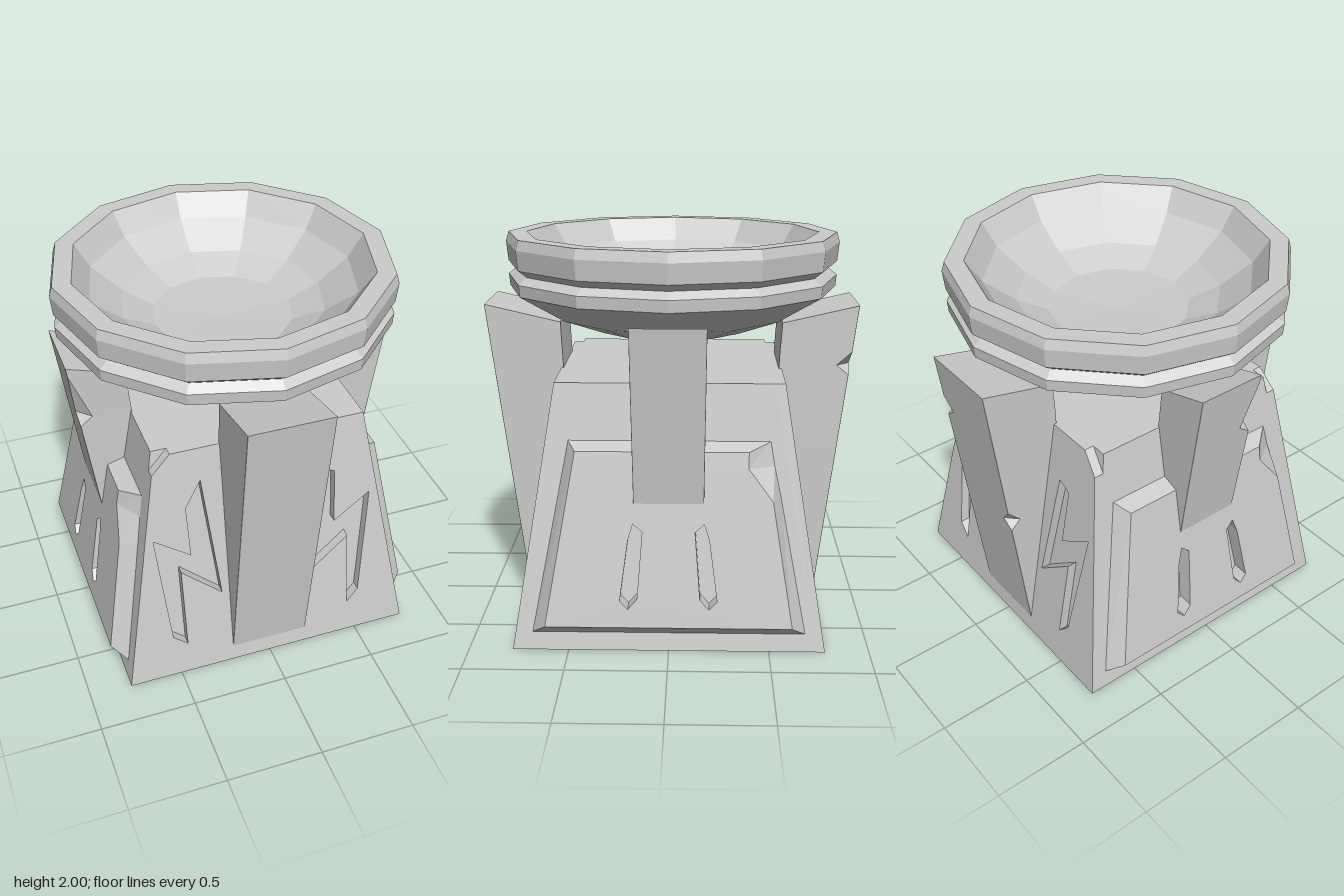
import * as THREE from 'three';

const stone = new THREE.MeshStandardMaterial({ color: 0xcccccc, flatShading: true, side: THREE.DoubleSide });
const H = 1.32;                        // body height
const SLOPE_X = (0.78 - 0.55) / H;     // inward lean of the sides
const SLOPE_Z = (0.78 - 0.57) / H;     // inward lean of the front and back

const points = (list) => list.map(([x, y]) => new THREE.Vector2(x, y));

function addPart(parent, name, geometry, angle = 0) {
  const mesh = new THREE.Mesh(geometry, stone);
  mesh.name = name;
  mesh.rotation.y = angle;
  parent.add(mesh);
  return mesh;
}

// Move every vertex of a geometry by a rule
function warp(geometry, rule) {
  const p = geometry.attributes.position;
  const v = new THREE.Vector3();
  for (let i = 0; i < p.count; i++) {
    rule(v.fromBufferAttribute(p, i));
    p.setXYZ(i, v.x, v.y, v.z);
  }
  geometry.computeVertexNormals();
  return geometry;
}

// Plate with carved openings
function carvedPlate(outline, holes, depth) {
  const shape = new THREE.Shape(points(outline));
  holes.forEach((h) => shape.holes.push(new THREE.Path(points(h))));
  return new THREE.ExtrudeGeometry(shape, { depth, bevelEnabled: false });
}

// Solid core, set back behind the carved front and back plates
function coreGeometry(inset) {
  return warp(new THREE.BoxGeometry(2, H, 2).translate(0, H / 2, 0), (v) => {
    v.x *= 0.78 - SLOPE_X * v.y;
    v.z *= 0.78 - inset - SLOPE_Z * v.y;
  });
}

// Leaning front plate with two jagged bolts, one top corner broken
function boltPlateGeometry(depth, chipSide) {
  const corner = 0.78 - SLOPE_X * 1.22;
  const outline = [[-0.78, 0], [0.78, 0]];
  if (chipSide > 0) outline.push([corner, 1.22], [0.47, H]);
  else outline.push([0.55, H]);
  if (chipSide < 0) outline.push([-0.47, H], [-corner, 1.22]);
  else outline.push([-0.55, H]);
  const boltA = [[-0.59, 0.85], [-0.4, 0.72], [-0.41, 1], [-0.325, 1.14],
    [-0.25, 0.45], [-0.46, 0.63], [-0.455, 0.18], [-0.53, 0.24]];
  const boltB = [[0.31, 1.05], [0.39, 1.02], [0.385, 0.72], [0.585, 0.85],
    [0.52, 0.25], [0.455, 0.18], [0.46, 0.61], [0.25, 0.45]];
  return warp(carvedPlate(outline, [boltA, boltB], depth), (v) => {
    v.z += 0.78 - depth - SLOPE_Z * v.y;
  });
}

// Raised side panel with bevelled rim, a broken corner and two slots
function sidePanelGeometry(depth) {
  const face = [[-0.61, 0.15], [0.61, 0.15], [0.51, 0.77], [0.39, 0.93], [0.39, 1.01], [-0.46, 1.01]];
  const foot = [[-0.68, 0.09], [0.68, 0.09], [0.55, 0.78], [0.52, 0.92], [0.5, 1.04], [-0.5, 1.04]];
  const slot = [[0.175, 0.66], [0.13, 0.62], [0.155, 0.29], [0.2, 0.24], [0.24, 0.28], [0.2, 0.58]];
  const slots = [slot, slot.map(([x, y]) => [-x, y])];
  return warp(carvedPlate(face, slots, depth), (v) => {
    if (v.z < depth / 2) {
      const i = face.findIndex(([x, y]) => Math.hypot(x - v.x, y - v.y) < 1e-4);
      if (i >= 0) [v.x, v.y] = foot[i];
    }
    v.z += 0.78 - SLOPE_X * v.y;
  });
}

// Buttress made of six-point sections; chips are [height, rise, size, side]
function buttressGeometry(halfWidth, bottom, top, chips) {
  const levels = [{ y: bottom.y }, { y: top.y }];
  chips.forEach(([y, rise, size, side]) => {
    levels.push({ y: y - 0.05 }, { y, size, side }, { y: y + rise });
  });
  levels.sort((a, b) => a.y - b.y);
  const pos = [];
  const index = [];
  levels.forEach(({ y, size = 0, side = 0 }) => {
    const t = (y - bottom.y) / (top.y - bottom.y);
    const inner = THREE.MathUtils.lerp(bottom.inner, top.inner, t);
    const outer = THREE.MathUtils.lerp(bottom.outer, top.outer, t);
    const w = halfWidth * (0.95 + 0.05 * t);
    const l = side < 0 ? size : 0.001;
    const r = side > 0 ? size : 0.001;
    const yInner = y === top.y ? y - 0.09 : Math.min(y, top.y - 0.1);
    pos.push(-w, yInner, inner, -w, y, outer - l, -w + l, y, outer,
      w - r, y, outer, w, y, outer - r, w, yInner, inner);
  });
  const last = (levels.length - 1) * 6;
  for (let k = 0; k < last; k += 6) {
    for (let j = 0; j < 6; j++) {
      const a = k + j;
      const b = k + (j + 1) % 6;
      index.push(a, b, b + 6, a, b + 6, a + 6);
    }
  }
  for (let j = 1; j < 5; j++) index.push(0, j + 1, j, last, last + j, last + j + 1);
  const g = new THREE.BufferGeometry();
  g.setAttribute('position', new THREE.Float32BufferAttribute(pos, 3));
  g.setIndex(index);
  g.computeVertexNormals();
  return g;
}

export function createModel() {
  const model = new THREE.Group();
  model.name = 'stoneBrazier';

  // Pedestal body
  const body = new THREE.Group();
  body.name = 'pedestal';
  model.add(body);
  addPart(body, 'core', coreGeometry(0.05));
  addPart(body, 'frontPlate', boltPlateGeometry(0.05, -1));
  addPart(body, 'backPlate', boltPlateGeometry(0.05, 1), Math.PI);
  addPart(body, 'leftPanel', sidePanelGeometry(0.085), Math.PI / 2);
  addPart(body, 'rightPanel', sidePanelGeometry(0.085), -Math.PI / 2);

  // Long buttresses front and back, short ones above the side panels
  const longFoot = { y: 0.08, inner: 0.5, outer: 0.766 };
  const longHead = { y: 1.65, inner: 0.57, outer: 0.96 };
  const shortFoot = { y: 0.76, inner: 0.5, outer: 0.735 };
  const shortHead = { y: 1.65, inner: 0.57, outer: 0.86 };
  addPart(model, 'frontButtress', buttressGeometry(0.217, longFoot, longHead, []));
  addPart(model, 'backButtress',
    buttressGeometry(0.217, longFoot, longHead, [[1.34, 0.07, 0.07, -1], [0.82, 0.07, 0.06, 1]]), Math.PI);
  addPart(model, 'leftButtress', buttressGeometry(0.182, shortFoot, shortHead, []), Math.PI / 2);
  addPart(model, 'rightButtress',
    buttressGeometry(0.182, shortFoot, shortHead, [[1.34, 0.26, 0.07, 1]]), -Math.PI / 2);

  // Post and twelve-sided bowl
  addPart(model, 'post', new THREE.BoxGeometry(0.28, 0.22, 0.28).translate(0, 1.4, 0));
  const profile = points([[0, 1.46], [0.2, 1.47], [0.4, 1.5], [0.62, 1.58], [0.855, 1.72],
    [0.86, 1.78], [0.815, 1.815], [0.86, 1.85], [0.87, 1.95], [0.855, 2],
    [0.76, 2], [0.68, 1.88], [0.52, 1.76], [0.36, 1.69], [0, 1.67]]);
  addPart(model, 'bowl', new THREE.LatheGeometry(profile, 12));

  return model;
}
